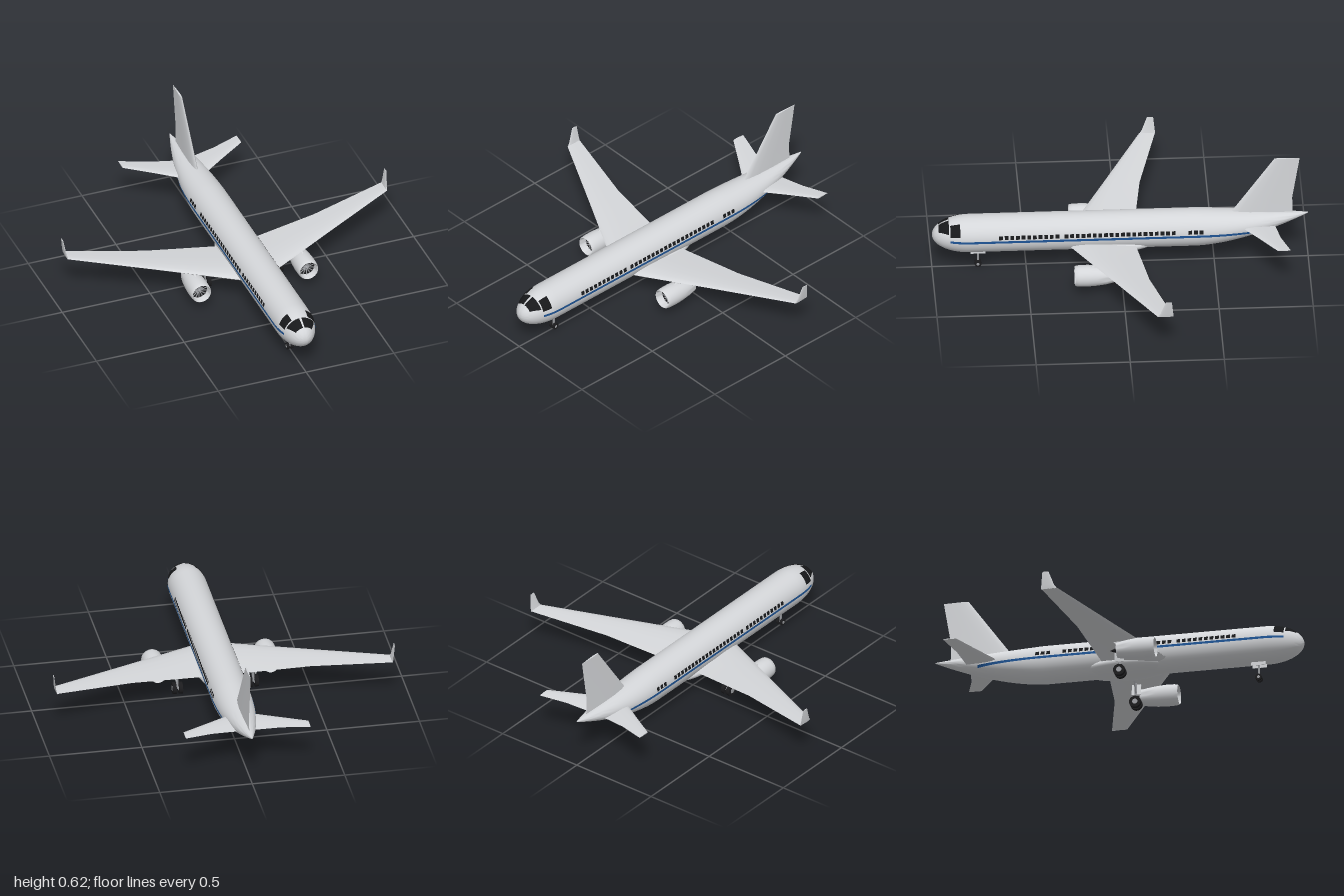
import * as THREE from 'three';
import { toCreasedNormals } from 'three/addons/utils/BufferGeometryUtils.js';

const mat = (name, color, side = THREE.FrontSide) => {
  const m = new THREE.MeshStandardMaterial({ color, side });
  m.name = name;
  return m;
};
const V = (x, y, z) => new THREE.Vector3(x, y, z);

// Closed solid through a list of equal-length loops, capped at both ends
function loft(loops, crease = 0.6) {
  const n = loops[0].length, pos = [], idx = [];
  loops.forEach(l => l.forEach(p => pos.push(p.x, p.y, p.z)));
  for (let i = 0; i < loops.length - 1; i++)
    for (let j = 0; j < n; j++) {
      const a = i * n + j, b = i * n + (j + 1) % n;
      idx.push(a, b, a + n, b, b + n, a + n);
    }
  const last = (loops.length - 1) * n;
  for (let j = 1; j < n - 1; j++) idx.push(0, j + 1, j, last, last + j, last + j + 1);
  // turn the faces outward if the enclosed volume is negative
  const at = i => V(pos[3 * i], pos[3 * i + 1], pos[3 * i + 2]);
  let volume = 0;
  for (let i = 0; i < idx.length; i += 3) volume += at(idx[i]).dot(at(idx[i + 1]).cross(at(idx[i + 2])));
  if (volume < 0) idx.reverse();
  const g = new THREE.BufferGeometry();
  g.setAttribute('position', new THREE.Float32BufferAttribute(pos, 3));
  g.setIndex(idx);
  return toCreasedNormals(g, crease);
}

// Aerofoil loop at (x, y) from leading edge z0 to trailing edge z1, thick along x or y
function foil(x, y, z0, z1, thick, axis) {
  const chord = [0, 0.03, 0.12, 0.3, 0.6, 1, 0.6, 0.3, 0.12, 0.03];
  const half = [0, 0.45, 0.8, 1, 0.7, 0.05, -0.7, -1, -0.8, -0.45];
  return chord.map((c, i) => {
    const p = V(x, y, z0 + (z1 - z0) * c);
    p[axis] += half[i] * thick / 2;
    return p;
  });
}

// Fuselage section at z: half width, centre height, half height
function section(z) {
  let rx = 0.103, top = 0.307, bottom = 0.103;
  if (z > 0.8) {
    const s = Math.sqrt(Math.max(0.00002, 1 - ((z - 0.8) / 0.2) ** 2));
    rx *= s; top = 0.2 + 0.107 * s; bottom = 0.2 - 0.097 * s;
  } else if (z < -0.4) {
    const u = (-0.4 - z) / 0.6;
    rx = 0.103 * (1 - u * u) + 0.002 * u; top = 0.307 - 0.031 * u; bottom = 0.103 + 0.168 * u ** 1.6;
  }
  return { rx, cy: (top + bottom) / 2, ry: (top - bottom) / 2 };
}
function skin(z, angle, lift = 0) {
  const { rx, cy, ry } = section(z);
  return V((rx + lift) * Math.cos(angle), cy + (ry + lift) * Math.sin(angle), z);
}
const angleAt = (z, y) => {
  const { cy, ry } = section(z);
  return Math.asin(THREE.MathUtils.clamp((y - cy) / ry, -1, 1));
};

// Thin painted patch on the fuselage; low and high give its edge angles at each z
function patch(z0, z1, low, high, side, nz = 1, na = 2) {
  const pos = [], idx = [];
  for (let i = 0; i <= nz; i++)
    for (let j = 0; j <= na; j++) {
      const z = z0 + (z1 - z0) * i / nz;
      const p = skin(z, low(z) + (high(z) - low(z)) * j / na, 0.0022);
      pos.push(p.x * side, p.y, p.z);
      if (i < nz && j < na) {
        const a = i * (na + 1) + j, b = a + na + 1;
        idx.push(...(side > 0 ? [a, b, a + 1, b, b + 1, a + 1] : [a, a + 1, b, b, a + 1, b + 1]));
      }
    }
  const g = new THREE.BufferGeometry();
  g.setAttribute('position', new THREE.Float32BufferAttribute(pos, 3));
  g.setIndex(idx);
  g.computeVertexNormals();
  return g;
}

export function createModel() {
  const root = new THREE.Group();
  root.name = 'airliner';
  const body = mat('body paint', 0xd4d6d9);
  const metal = mat('metal', 0x9a9ca0);
  const rubber = mat('rubber', 0x1c1c1e);
  const glass = mat('window glass', 0x17181a, THREE.DoubleSide);
  const blue = mat('blue stripe', 0x1f5596, THREE.DoubleSide);
  const add = (name, geo, m, parent = root) => {
    const o = new THREE.Mesh(geo, m);
    o.name = name;
    parent.add(o);
    return o;
  };
  const group = name => {
    const g = new THREE.Group();
    g.name = name;
    root.add(g);
    return g;
  };

  // Fuselage: round nose, straight cabin, upswept tail
  const zs = [];
  for (let i = 0; i <= 14; i++) zs.push(0.8 + 0.2 * Math.cos(i / 14 * Math.PI / 2));
  for (let i = 0; i <= 14; i++) zs.push(-0.4 - 0.6 * i / 14);
  add('fuselage', loft(zs.map(z => Array.from({ length: 40 }, (_, j) => skin(z, j / 40 * Math.PI * 2)))), body);

  // Belly fairing
  const fairing = new THREE.SphereGeometry(1, 32, 20).scale(0.113, 0.047, 0.25).translate(0, 0.142, 0.04);
  add('bellyFairing', fairing, body);

  // Tail fin
  add('tailFin', loft([
    foil(0, 0.26, -0.57, -0.92, 0.026, 'x'), foil(0, 0.29, -0.59, -0.918, 0.025, 'x'),
    foil(0, 0.37, -0.647, -0.915, 0.021, 'x'), foil(0, 0.616, -0.82, -0.955, 0.01, 'x')]), body);

  const rad = THREE.MathUtils.degToRad;
  for (const s of [1, -1]) {
    const side = s > 0 ? 'left' : 'right';

    // Wing, winglet and tailplane
    add(side + 'Wing', loft([
      foil(s * 0.04, 0.15, 0.29, -0.075, 0.044, 'y'), foil(s * 0.1, 0.153, 0.26, -0.08, 0.04, 'y'),
      foil(s * 0.25, 0.166, 0.184, -0.1, 0.028, 'y'), foil(s * 0.48, 0.186, 0.066, -0.13, 0.018, 'y'),
      foil(s * 0.907, 0.222, -0.15, -0.235, 0.008, 'y')]), body);
    add(side + 'Winglet', loft([
      foil(s * 0.906, 0.219, -0.15, -0.236, 0.008, 'x'), foil(s * 0.911, 0.24, -0.165, -0.234, 0.007, 'x'),
      foil(s * 0.92, 0.315, -0.193, -0.226, 0.004, 'x')]), body);
    add(side + 'Tailplane', loft([
      foil(s * 0.02, 0.223, -0.62, -0.82, 0.022, 'y'), foil(s * 0.07, 0.227, -0.65, -0.825, 0.019, 'y'),
      foil(s * 0.19, 0.238, -0.728, -0.845, 0.012, 'y'), foil(s * 0.337, 0.25, -0.82, -0.89, 0.006, 'y')]), body);

    // Engine: nacelle with rolled lip, fan, spinner and exhaust cone
    const engine = group(side + 'Engine');
    engine.position.set(s * 0.305, 0.109, 0);
    const profile = [[0.034, 0.075], [0.04, 0.05], [0.049, 0.09], [0.055, 0.14], [0.058, 0.19], [0.057, 0.235],
      [0.054, 0.253], [0.051, 0.257], [0.048, 0.252], [0.046, 0.21]].map(p => new THREE.Vector2(...p));
    add('nacelle', toCreasedNormals(new THREE.LatheGeometry(profile, 32).rotateX(Math.PI / 2), 0.7), body, engine);
    add('fanDisc', new THREE.CylinderGeometry(0.047, 0.047, 0.006, 32).rotateX(Math.PI / 2).translate(0, 0, 0.212), rubber, engine);
    for (let i = 0; i < 14; i++) {
      const blade = new THREE.BoxGeometry(0.005, 0.036, 0.003).rotateY(0.4).translate(0, 0.028, 0.218);
      add('fanBlade', blade.rotateZ(i / 14 * Math.PI * 2), metal, engine);
    }
    add('spinner', new THREE.ConeGeometry(0.012, 0.024, 20).rotateX(Math.PI / 2).translate(0, 0, 0.226), metal, engine);
    add('exhaustDisc', new THREE.CylinderGeometry(0.038, 0.038, 0.004, 32).rotateX(Math.PI / 2).translate(0, 0, 0.07), rubber, engine);
    add('exhaustCone', new THREE.ConeGeometry(0.024, 0.06, 24).rotateX(-Math.PI / 2).translate(0, 0, 0.04), rubber, engine);
    add(side + 'Pylon', loft([foil(s * 0.305, 0.145, 0.21, 0.04, 0.022, 'x'),
      foil(s * 0.305, 0.173, 0.155, 0.02, 0.02, 'x')]), body);

    // Main landing gear with twin wheels
    const gear = group(side + 'MainGear');
    gear.position.set(s * 0.205, 0.033, 0.043);
    add('strut', new THREE.CylinderGeometry(0.007, 0.007, 0.125, 12).translate(0, 0.0625, 0), metal, gear);
    const brace = new THREE.CylinderGeometry(0.004, 0.004, 0.09, 8).rotateZ(s * 0.5).translate(-s * 0.02, 0.085, 0);
    add('sideBrace', brace, metal, gear);
    const door = new THREE.BoxGeometry(0.004, 0.065, 0.05).rotateZ(-s * 0.15).translate(s * 0.015, 0.085, 0);
    add('gearDoor', door, body, gear);
    addWheels(gear, 0.032, 0.02, 0.017);

    // Nose gear doors
    add(side + 'NoseGearDoor', new THREE.BoxGeometry(0.003, 0.025, 0.08).translate(s * 0.018, 0.098, 0.755), body);

    // Blue cheat line
    add(side + 'Stripe', patch(0.905, -0.76, z => angleAt(z, 0.199), z => angleAt(z, 0.212), s, 50, 1), blue);

    // Cabin windows in three runs: first z, count
    for (const [z0, count] of [[0.648, 11], [0.3, 20], [-0.358, 3]])
      for (let i = 0; i < count; i++) {
        const z = z0 - i * 0.03;
        add(side + 'CabinWindow', patch(z, z - 0.02, q => angleAt(q, 0.219), q => angleAt(q, 0.24), s), glass);
      }

    // Cockpit windows
    add(side + 'Windscreen', patch(0.966, 0.912, z => rad(40 - (0.966 - z) * 240), () => rad(86), s, 6, 8), glass);
    add(side + 'CockpitSideWindow', patch(0.905, 0.853, () => rad(18), () => rad(60), s, 5, 8), glass);
  }

  // Nose gear
  const nose = group('noseGear');
  nose.position.set(0, 0.018, 0.755);
  add('strut', new THREE.CylinderGeometry(0.006, 0.006, 0.1, 12).translate(0, 0.05, 0), metal, nose);
  addWheels(nose, 0.018, 0.013, 0.011);

  // A pair of tyres with hubs on a common axle
  function addWheels(parent, r, width, offset) {
    const roll = (radius, w) => new THREE.CylinderGeometry(radius, radius, w, 24).rotateZ(Math.PI / 2);
    add('axle', roll(r * 0.2, offset * 2), metal, parent);
    for (const d of [-1, 1]) {
      add('tyre', roll(r, width).translate(d * offset, 0, 0), rubber, parent);
      add('hub', roll(r * 0.45, width + 0.003).translate(d * offset, 0, 0), metal, parent);
    }
  }
  return root;
}
